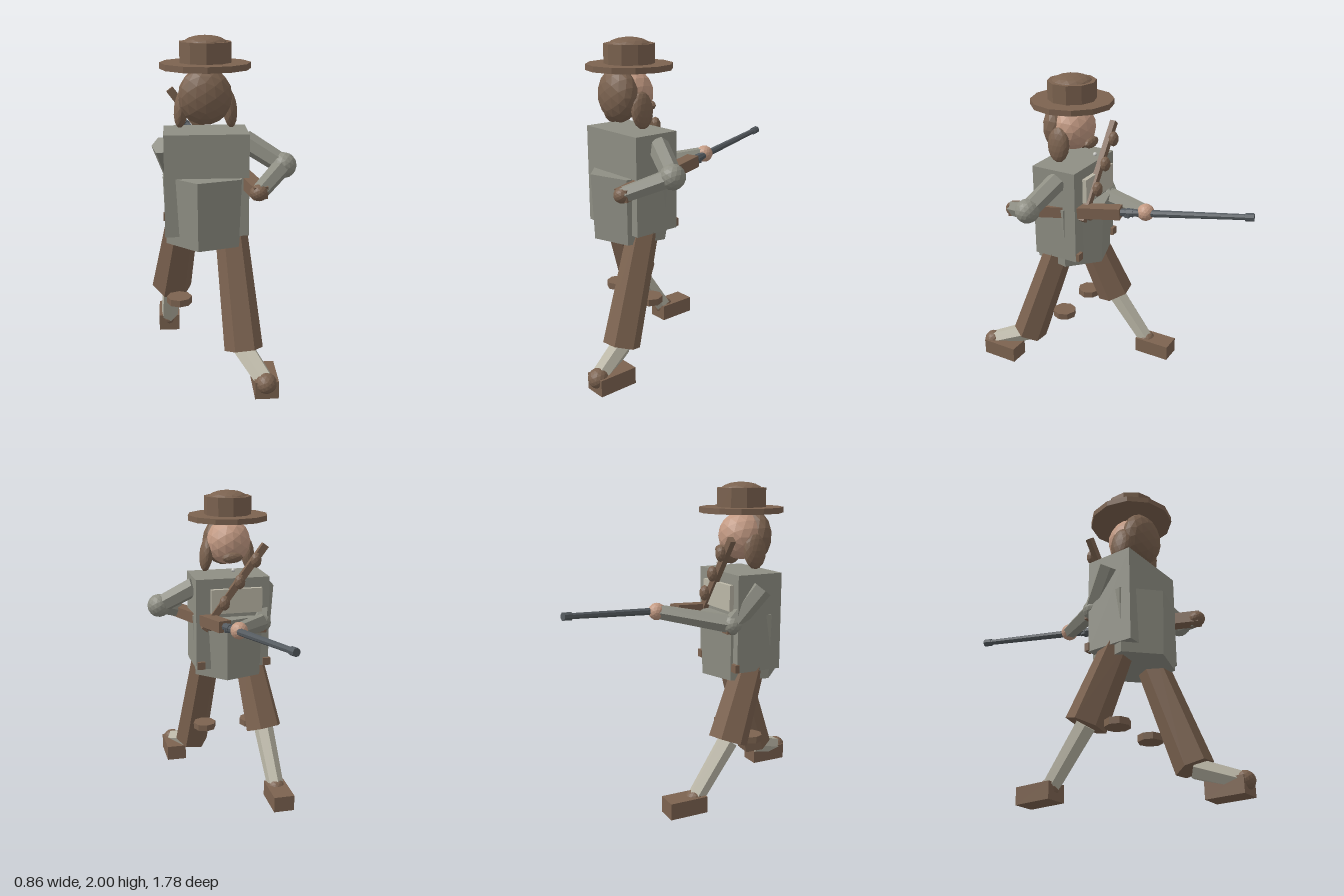
import * as THREE from 'three';

const mat = (name, color) => {
  const m = new THREE.MeshStandardMaterial({ color, flatShading: true });
  m.name = name;
  return m;
};

export function createModel() {
  const root = new THREE.Group();
  const grey = mat('coat grey', 0x8f8f84);
  const brown = mat('leather brown', 0x7c6350);
  const skin = mat('skin', 0xc39a83);
  const linen = mat('linen', 0xbbb7a7);
  const metal = mat('gun metal', 0x555b60);
  const silver = mat('silver', 0xcfcfcb);
  const V = (a) => new THREE.Vector3(...a);

  const add = (name, geo, m, pos) => {
    const mesh = new THREE.Mesh(geo, m);
    mesh.name = name;
    mesh.position.set(...pos);
    root.add(mesh);
    return mesh;
  };
  const box = (name, m, pos, size) => add(name, new THREE.BoxGeometry(...size), m, pos);
  const disc = (name, m, pos, rTop, rBottom, h, sides) =>
    add(name, new THREE.CylinderGeometry(rTop, rBottom, h, sides), m, pos);
  const ball = (name, m, pos, scale, detail = 2) => {
    const mesh = add(name, new THREE.IcosahedronGeometry(1, detail), m, pos);
    mesh.scale.set(...scale);
    return mesh;
  };
  // Tapered prism running from point a to point b
  const limb = (name, m, a, b, ra, rb, sides = 6) => {
    const d = V(b).sub(V(a));
    const mid = V(a).add(V(b)).multiplyScalar(0.5);
    const mesh = add(name, new THREE.CylinderGeometry(rb, ra, d.length(), sides), m, mid.toArray());
    mesh.quaternion.setFromUnitVectors(new THREE.Vector3(0, 1, 0), d.normalize());
    return mesh;
  };
  // Square bar from a to b
  const bar = (name, m, a, b, w, h) => {
    const mid = V(a).add(V(b)).multiplyScalar(0.5);
    const mesh = box(name, m, mid.toArray(), [w, h, V(a).distanceTo(V(b))]);
    mesh.lookAt(V(b));
    return mesh;
  };

  // Torso and flared coat
  box('torso', grey, [-0.1, 1.153, 0.313], [0.49, 0.605, 0.305]);
  disc('coat', grey, [-0.1, 0.995, 0.32], 0.265, 0.248, 0.41, 6).rotation.y = -13 * Math.PI / 180;

  // Head, hair and side locks
  ball('head', skin, [-0.105, 1.67, 0.315], [0.145, 0.15, 0.145]);
  ball('hair', brown, [-0.105, 1.665, 0.4], [0.155, 0.165, 0.1]);
  for (const s of [-1, 1]) {
    ball('sideLock', brown, [-0.1 + s * 0.14, 1.585, 0.335], [0.042, 0.113, 0.075]).rotation.z = s * 0.1;
  }
  ball('moustache', brown, [-0.1, 1.585, 0.18], [0.07, 0.035, 0.03], 1);
  ball('collarPin', silver, [-0.1, 1.51, 0.155], [0.013, 0.013, 0.013], 1);

  // Hat
  disc('hatBrim', brown, [-0.1, 1.83, 0.315], 0.262, 0.262, 0.035, 12);
  disc('hatCrown', brown, [-0.1, 1.905, 0.315], 0.153, 0.153, 0.118, 10);
  ball('hatDome', brown, [-0.1, 1.95, 0.315], [0.13, 0.05, 0.13]);

  // Chest panel, bandolier with pouches, belt pouches
  box('chestPanel', linen, [-0.12, 1.31, 0.147], [0.34, 0.16, 0.03]);
  bar('bandolier', brown, [-0.305, 1.67, 0.133], [0.1, 1.13, 0.133], 0.036, 0.045);
  for (const [x, y] of [[-0.235, 1.58], [-0.13, 1.445], [-0.03, 1.31], [0.065, 1.18]]) {
    ball('bandolierPouch', brown, [x, y, 0.097], [0.035, 0.05, 0.032], 1);
  }
  for (const x of [-0.33, 0.115]) box('coatClasp', brown, [x, 0.88, 0.155], [0.05, 0.05, 0.03]);
  box('beltPouch', brown, [-0.28, 1.12, 0.125], [0.07, 0.05, 0.04]);

  // Bent arm holding the stock
  const elbowL = [0.355, 1.25, 0.37], handL = [0.185, 1.15, 0.6];
  limb('leftUpperArm', grey, [0.13, 1.385, 0.29], elbowL, 0.065, 0.06);
  ball('leftElbow', grey, elbowL, [0.077, 0.077, 0.077]);
  limb('leftForearm', grey, elbowL, handL, 0.058, 0.05);
  ball('leftHand', brown, handL, [0.052, 0.048, 0.052]);

  // Outstretched arm supporting the barrel
  const elbowR = [-0.29, 1.15, 0.155], handR = [-0.04, 1.222, -0.24];
  limb('rightUpperArm', grey, [-0.35, 1.37, 0.32], elbowR, 0.068, 0.06);
  ball('rightElbow', grey, elbowR, [0.066, 0.066, 0.066]);
  limb('rightForearm', grey, elbowR, handR, 0.06, 0.047);
  ball('rightHand', skin, handR, [0.054, 0.054, 0.054]);

  // Rifle laid along one line
  const butt = V([0.195, 1.15, 0.62]), muzzle = V([-0.188, 1.275, -0.885]);
  const at = (t) => butt.clone().lerp(muzzle, t).toArray();
  bar('rifleStock', brown, at(0), at(0.475), 0.085, 0.072);
  limb('rifleBarrel', metal, at(0.42), at(1), 0.025, 0.018, 8);
  limb('rifleBand', metal, at(0.5), at(0.525), 0.028, 0.028, 8);
  limb('rifleMuzzle', metal, at(0.966), at(1), 0.025, 0.025, 8);
  const lock = at(0.505);
  box('rifleSight', metal, [lock[0], lock[1] - 0.012, lock[2]], [0.05, 0.03, 0.03]);

  // Striding legs: breeches, stocking, ankle, shoe
  const legs = [
    ['left', [0.045, 0.9, 0.33], [0.11, 0.175, 0.575], 0.095, 0.115, [0.215, 0.085, 0.825], [0.217, 0.052, 0.728]],
    ['right', [-0.245, 0.88, 0.31], [-0.31, 0.41, 0.12], 0.1, 0.125, [-0.33, 0.075, -0.125], [-0.33, 0.052, -0.195]],
  ];
  for (const [side, hip, knee, r0, r1, ankle, shoe] of legs) {
    limb(side + 'Breeches', brown, hip, knee, r0, r1);
    limb(side + 'Stocking', linen, knee, ankle, 0.065, 0.055);
    ball(side + 'Ankle', brown, ankle, [0.062, 0.06, 0.062]);
    box(side + 'Shoe', brown, shoe, [0.135, 0.104, 0.247]);
  }
  // Knee discs
  for (const x of [-0.265, 0.065]) disc('kneeDisc', brown, [x, 0.39, 0.31], 0.077, 0.077, 0.042, 8);

  return root;
}
